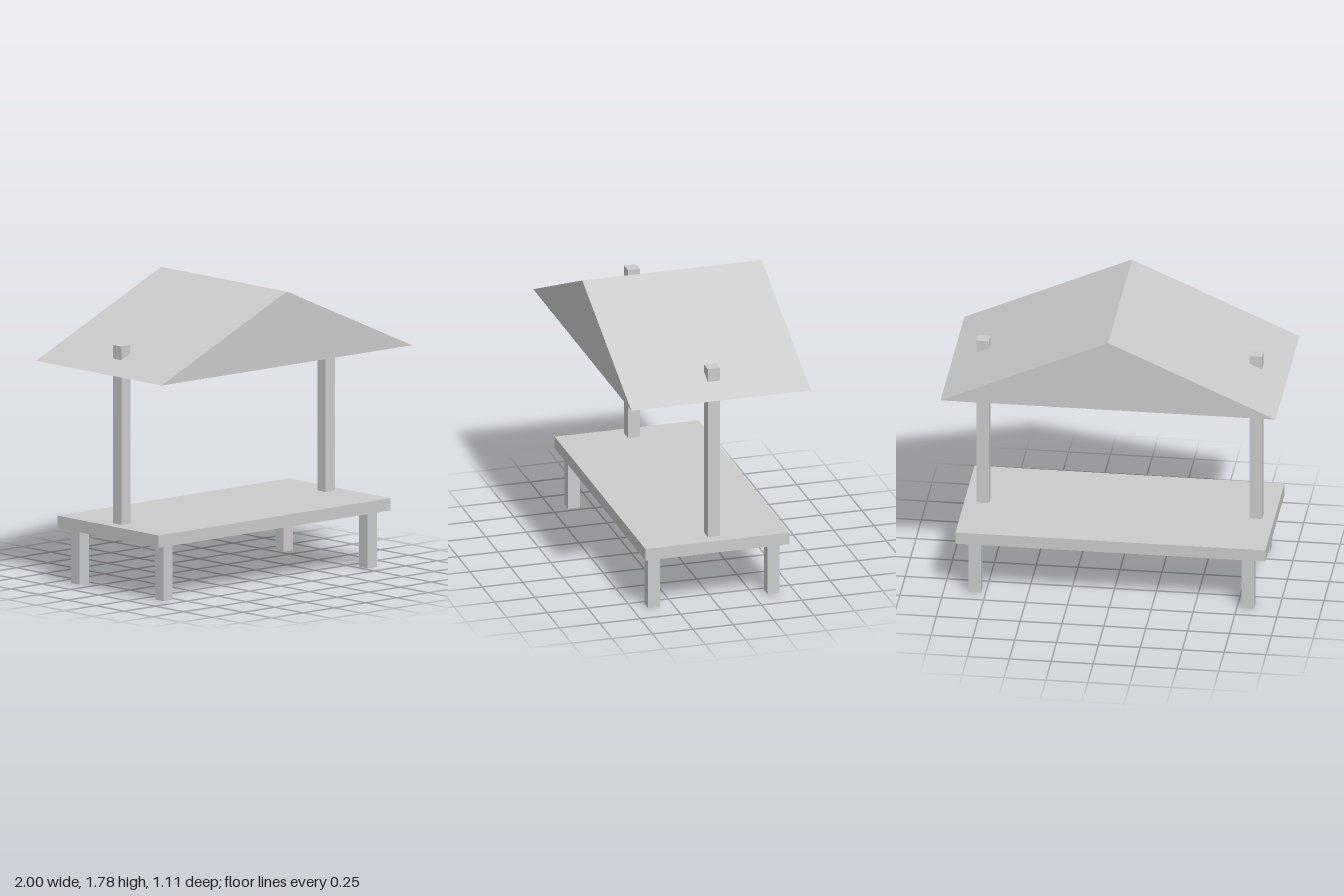
import * as THREE from 'three';

export function createModel() {
  const model = new THREE.Group();
  const material = new THREE.MeshStandardMaterial({ color: 0xcccccc, flatShading: true });

  const add = (name, geometry, x, y, z) => {
    const mesh = new THREE.Mesh(geometry, material);
    mesh.name = name;
    mesh.position.set(x, y, z);
    model.add(mesh);
  };
  // Box given by its size and the height of its underside
  const addBox = (name, w, h, d, x, bottom, z) =>
    add(name, new THREE.BoxGeometry(w, h, d), x, bottom + h / 2, z);

  const beam = 0.074;
  const postX = 0.815;
  const legZ = 0.37;
  const topBottom = 0.335;
  const topHeight = 0.074;

  // Counter top
  addBox('counterTop', 1.85, topHeight, 0.89, 0, topBottom, 0);

  for (const [side, sx] of [['left', 1], ['right', -1]]) {
    // Short legs at the corners
    addBox(side + 'FrontLeg', beam, topBottom, beam, sx * postX, 0, legZ);
    addBox(side + 'BackLeg', beam, topBottom, beam, sx * postX, 0, -legZ);
    // Tall post whose end pokes through the roof
    const postBottom = topBottom + topHeight;
    addBox(side + 'Post', beam, 1.482 - postBottom, beam, sx * postX, postBottom, 0);
  }

  // Solid gable roof with its ridge running front to back
  const depth = 1.11;
  const gable = new THREE.Shape();
  gable.moveTo(-1, 0);
  gable.lineTo(1, 0);
  gable.lineTo(0, 0.444);
  gable.closePath();
  const roof = new THREE.ExtrudeGeometry(gable, { depth, bevelEnabled: false });
  add('roof', roof, 0, 1.335, -depth / 2);

  return model;
}
